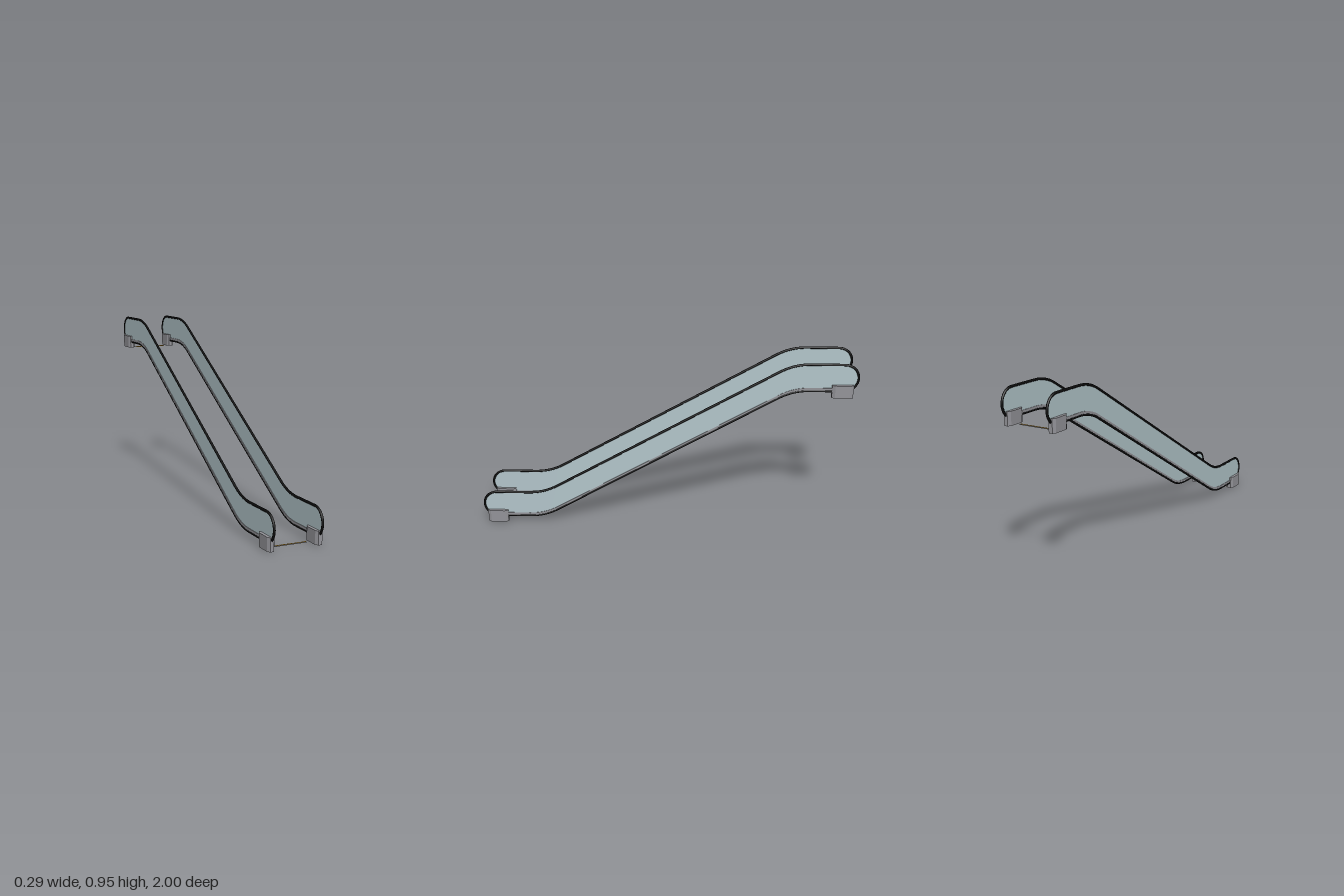
import * as THREE from 'three';

const mat = (name, color, side = THREE.FrontSide) => {
  const m = new THREE.MeshStandardMaterial({ color, side });
  m.name = name;
  return m;
};

const RISE = 0.767;      // height between the two landings
const SIDE_X = 0.127;    // distance of each balustrade from the middle
const LOW = 0.037, HIGH = 0.181, R = (HIGH - LOW) / 2, END = 0.993 - R;
const KNEE = 0.662, BEND = 0.085;

// Profile line with a flat, a soft bend, a 30 degree slope and a second flat. x = -z, y = height.
function slopeLine(y, endX) {
  const c = Math.cos(Math.atan2(RISE, 2 * KNEE)) * BEND;
  const s = Math.sin(Math.atan2(RISE, 2 * KNEE)) * BEND;
  const v = (a, b) => new THREE.Vector2(a, b);
  const low = new THREE.QuadraticBezierCurve(v(-KNEE - BEND, y), v(-KNEE, y), v(-KNEE + c, y + s));
  const top = y + RISE;
  const high = new THREE.QuadraticBezierCurve(v(KNEE - c, top - s), v(KNEE, top), v(KNEE + BEND, top));
  return [v(-endX, y), ...low.getPoints(10), ...high.getPoints(10), v(endX, top)];
}

// Closed balustrade outline: lower line, round upper end, upper line back, round lower end
function outline() {
  const arc = (cx, cy, from) => Array.from({ length: 15 }, (_, i) => {
    const a = from + Math.PI * (i + 1) / 16;
    return new THREE.Vector2(cx + R * Math.cos(a), cy + R * Math.sin(a));
  });
  const mid = (LOW + HIGH) / 2;
  return [
    ...slopeLine(LOW, END), ...arc(END, mid + RISE, -Math.PI / 2),
    ...slopeLine(HIGH, END).reverse(), ...arc(-END, mid, Math.PI / 2),
  ];
}

// Extrudes a side profile across x, centred on x = 0
function sidePanel(points, width) {
  const g = new THREE.ExtrudeGeometry(new THREE.Shape(points), { depth: width, bevelEnabled: false });
  return g.translate(0, 0, -width / 2).rotateY(Math.PI / 2);
}

export function createModel() {
  const model = new THREE.Group();
  model.name = 'escalatorBalustrades';
  const glass = mat('paleGlass', 0xb3c6cb);
  const rubber = mat('blackRubber', 0x0b0b0b);
  const metal = mat('greyMetal', 0x949499);
  const yellow = mat('combYellow', 0xd09a28);

  const add = (parent, name, geometry, material, x = 0, y = 0, z = 0) => {
    const m = new THREE.Mesh(geometry, material);
    m.name = name;
    m.position.set(x, y, z);
    parent.add(m);
    return m;
  };

  const loop = outline();
  const glassGeo = sidePanel(loop, 0.004);

  // Handrail follows the outline as a closed chain of short straight pieces
  const path = new THREE.CurvePath();
  const loop3 = loop.map(p => new THREE.Vector3(0, p.y, -p.x));
  loop3.forEach((p, i) => path.add(new THREE.LineCurve3(p, loop3[(i + 1) % loop3.length])));
  const railGeo = new THREE.TubeGeometry(path, 400, 0.0065, 10, true);

  // Skirt strip just above the lower run of the rail
  const skirtGeo = sidePanel(
    [...slopeLine(LOW, 0.9), ...slopeLine(LOW + 0.017, 0.9).reverse()], 0.009);

  // Entry box with chamfered upright edges
  const w = 0.019, l = 0.055, cx = 0.009, cz = 0.016;
  const plan = [[-w, -l + cz], [-w + cx, -l], [w - cx, -l], [w, -l + cz],
    [w, l - cz], [w - cx, l], [-w + cx, l], [-w, l - cz]].map(p => new THREE.Vector2(...p));
  const boxGeo = new THREE.ExtrudeGeometry(new THREE.Shape(plan), { depth: 0.069, bevelEnabled: false });
  boxGeo.rotateX(-Math.PI / 2);

  for (const side of [-1, 1]) {
    const b = new THREE.Group();
    b.name = side > 0 ? 'leftBalustrade' : 'rightBalustrade';
    b.position.x = side * SIDE_X;
    add(b, 'glassPanel', glassGeo, glass);
    add(b, 'handrail', railGeo, rubber);
    add(b, 'skirt', skirtGeo, metal);
    add(b, 'lowerEntryBox', boxGeo, metal, 0, 0.003, 0.92);
    add(b, 'upperEntryBox', boxGeo, metal, 0, 0.003 + RISE, -0.915);
    model.add(b);
  }

  // Comb plates lying across each landing, with small teeth towards the steps
  const plateGeo = new THREE.BoxGeometry(0.192, 0.003, 0.009);
  const lineGeo = new THREE.BoxGeometry(0.19, 0.001, 0.006);
  const toothGeo = new THREE.BoxGeometry(0.0025, 0.002, 0.006);
  for (const [name, y, z, inward] of [['lowerComb', 0, 0.899, -1], ['upperComb', RISE, -0.904, 1]]) {
    const comb = new THREE.Group();
    comb.name = name;
    comb.position.set(0, y, z);
    add(comb, 'plate', plateGeo, metal, 0, 0.0015, 0);
    add(comb, 'warningLine', lineGeo, yellow, 0, 0.0033, inward * 0.001);
    for (let i = 0; i < 40; i++) {
      add(comb, 'tooth', toothGeo, yellow, -0.0936 + i * 0.0048, 0.0015, inward * 0.007);
    }
    model.add(comb);
  }
  return model;
}
